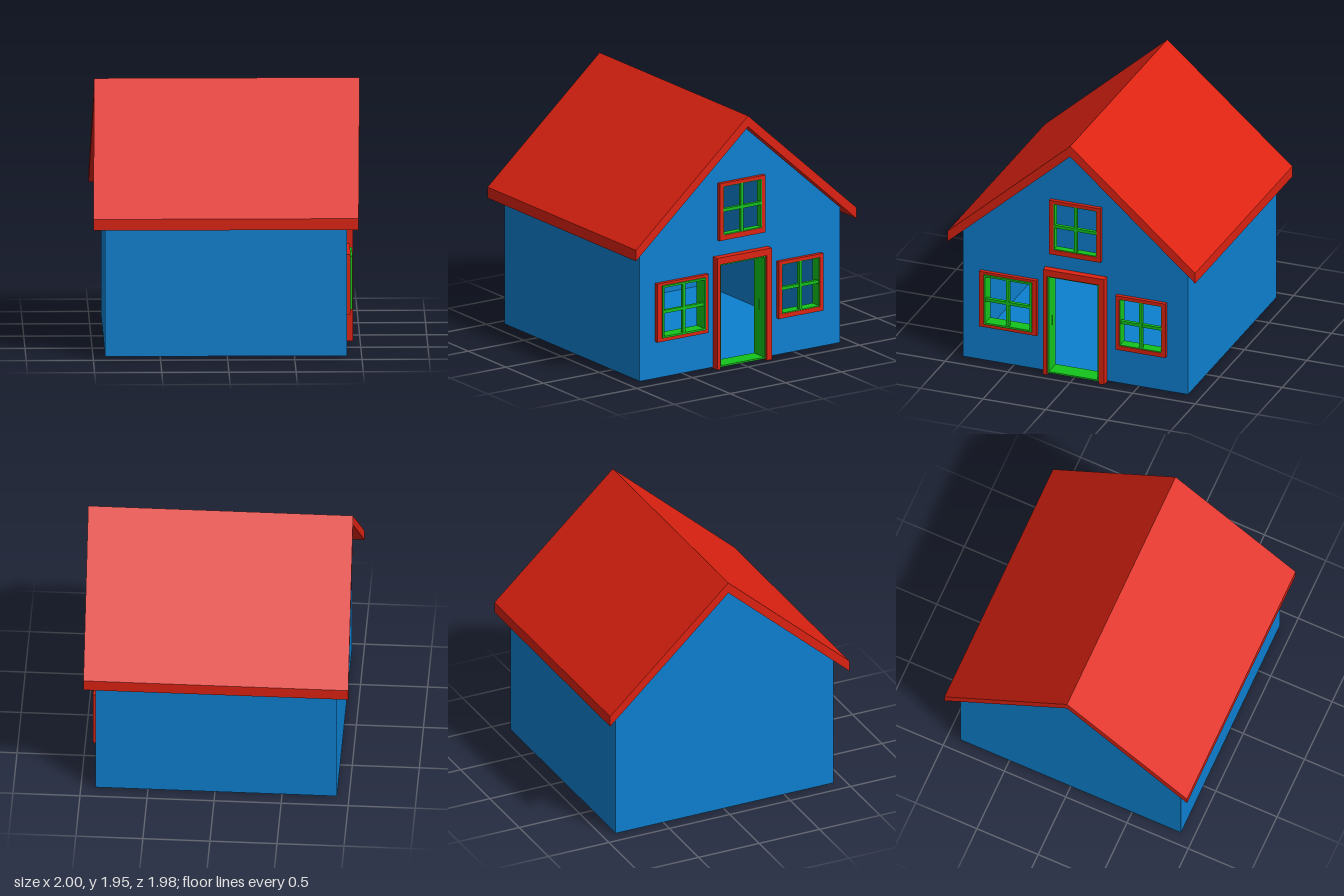
import * as THREE from 'three';

const mat = (color, side = THREE.FrontSide) => {
  const m = new THREE.MeshStandardMaterial({ side });
  m.color.set(color);
  return m;
};
const blue = mat(0x0d80d0, THREE.DoubleSide);
const red = mat(0xdd2211);
const green = mat(0x14c41c);

// Half the house depth, wall ends and roof slope
const HALF = 0.9, X0 = -0.91, X1 = 0.89, FLOOR = 0.01;
const RIDGE = 1.865, SLOPE = 0.885 / 0.99;

// Gable shapes are drawn in (u, y) with u = -z, then turned to face +x
const polygon = (pts) => new THREE.Shape(pts.map(([u, y]) => new THREE.Vector2(u, y)));
const rectPoints = (a, b, lo, hi) => [[a, lo], [b, lo], [b, hi], [a, hi]];
const rectHole = (r) => new THREE.Path(rectPoints(...r).reverse().map(([u, y]) => new THREE.Vector2(u, y)));

function add(parent, name, geometry, material) {
  const mesh = new THREE.Mesh(geometry, material);
  mesh.name = name;
  parent.add(mesh);
  return mesh;
}

// Extrude a (u, y) shape from x = from to x = to
function extrudeX(shape, from, to) {
  const g = new THREE.ExtrudeGeometry(shape, { depth: to - from, bevelEnabled: false });
  return g.rotateY(Math.PI / 2).translate(from, 0, 0);
}

// Rectangular ring; rectangles are [u0, u1, y0, y1]
function ring(outer, inner, from, to) {
  const s = polygon(rectPoints(...outer));
  s.holes.push(rectHole(inner));
  return extrudeX(s, from, to);
}

const inset = ([a, b, lo, hi], t) => [a + t, b - t, lo + t, hi - t];

function box(a, b, lo, hi, from, to) {
  return extrudeX(polygon(rectPoints(a, b, lo, hi)), from, to);
}

// trim: outer red rectangle; hole: opening; sash: green frame width
const windows = [
  { name: 'leftWindow', trim: [-0.76, -0.3, 0.295, 0.75], hole: [-0.72, -0.335, 0.325, 0.73], sash: 0.014, back: 0.83, front: 0.935 },
  { name: 'rightWindow', trim: [0.33, 0.73, 0.295, 0.74], hole: [0.36, 0.7, 0.33, 0.715], sash: 0.006, back: 0.83, front: 0.915 },
  { name: 'atticWindow', trim: [-0.2, 0.21, 0.99, 1.435], hole: [-0.165, 0.18, 1.03, 1.41], sash: 0.006, back: 0.86, front: 0.915 },
];
const doorHole = [-0.21, 0.205, 0.012, 0.815];

function buildWindow({ name, trim, hole, sash, back, front }) {
  const g = new THREE.Group();
  g.name = name;
  add(g, 'windowTrim', ring(trim, hole, X1 - 0.005, 0.92), red);
  add(g, 'windowSash', ring(hole, inset(hole, sash), back, front), green);
  const [a, b, lo, hi] = hole;
  const u = (a + b) / 2, y = (lo + hi) / 2, t = 0.012;
  add(g, 'uprightBar', box(u - t, u + t, lo, hi, front - 0.03, front - 0.002), green);
  add(g, 'crossBar', box(a, b, y - t, y + t, front - 0.032, front - 0.004), green);
  return g;
}

function buildDoorway() {
  const g = new THREE.Group();
  g.name = 'doorway';
  const [a, b, , top] = doorHole;
  // Red surround, open at the bottom
  const arch = polygon([[-0.24, 0], [a, 0], [a, top], [b, top], [b, 0], [0.25, 0], [0.25, 0.868], [-0.24, 0.868]]);
  add(g, 'doorTrim', extrudeX(arch, 0.87, 0.945), red);
  add(g, 'doorJamb', ring(doorHole, inset(doorHole, 0.012), 0.79, 0.93), green);
  // Small latch plates on both jambs
  for (const [u, s] of [[a + 0.012, 1], [b - 0.012, -1]]) {
    const edge = u + s * 0.003;
    add(g, 'latchPlate', box(Math.min(u, edge), Math.max(u, edge), 0.38, 0.46, 0.855, 0.865), green);
  }
  return g;
}

// Gable outline reaching up to the underside of the roof
function gable() {
  const eave = RIDGE - SLOPE * HALF;
  return polygon([[-HALF, FLOOR], [HALF, FLOOR], [HALF, eave], [0, RIDGE], [-HALF, eave]]);
}

function buildWalls() {
  const g = new THREE.Group();
  g.name = 'walls';
  const pierced = gable();
  for (const w of windows) pierced.holes.push(rectHole(w.hole));
  pierced.holes.push(rectHole(doorHole));
  add(g, 'doorGable', new THREE.ShapeGeometry(pierced).rotateY(Math.PI / 2).translate(X1, 0, 0), blue);
  // Mirrored outline so that the plain gable faces outward
  add(g, 'plainGable', new THREE.ShapeGeometry(gable()).rotateY(-Math.PI / 2).translate(X0, 0, 0), blue);

  const length = X1 - X0, mid = (X0 + X1) / 2;
  const height = RIDGE - SLOPE * HALF - FLOOR;
  for (const s of [1, -1]) {
    const side = new THREE.PlaneGeometry(length, height);
    if (s < 0) side.rotateY(Math.PI);
    side.translate(mid, FLOOR + height / 2, s * HALF);
    add(g, 'sideWall', side, blue);
  }
  const floor = new THREE.PlaneGeometry(length, HALF * 2).rotateX(Math.PI / 2).translate(mid, FLOOR, 0);
  add(g, 'floor', floor, blue);
  return g;
}

// Folded slab, its ends leaning slightly toward +x at the ridge
function buildRoof() {
  const e = 0.99, t = 0.085, low = RIDGE - SLOPE * e;
  const s = polygon([[-e, low], [0, RIDGE], [e, low], [e, low + t], [0, RIDGE + t], [-e, low + t]]);
  const geo = extrudeX(s, -0.9875, 0.9875);
  const p = geo.attributes.position;
  for (let i = 0; i < p.count; i++) {
    p.setX(i, p.getX(i) + 0.0125 - 0.025 * Math.abs(p.getZ(i)) / e);
  }
  geo.computeVertexNormals();
  return geo;
}

export function createModel() {
  const house = new THREE.Group();
  house.name = 'house';
  house.add(buildWalls());
  add(house, 'roof', buildRoof(), red);
  house.add(buildDoorway());
  for (const w of windows) house.add(buildWindow(w));
  return house;
}
